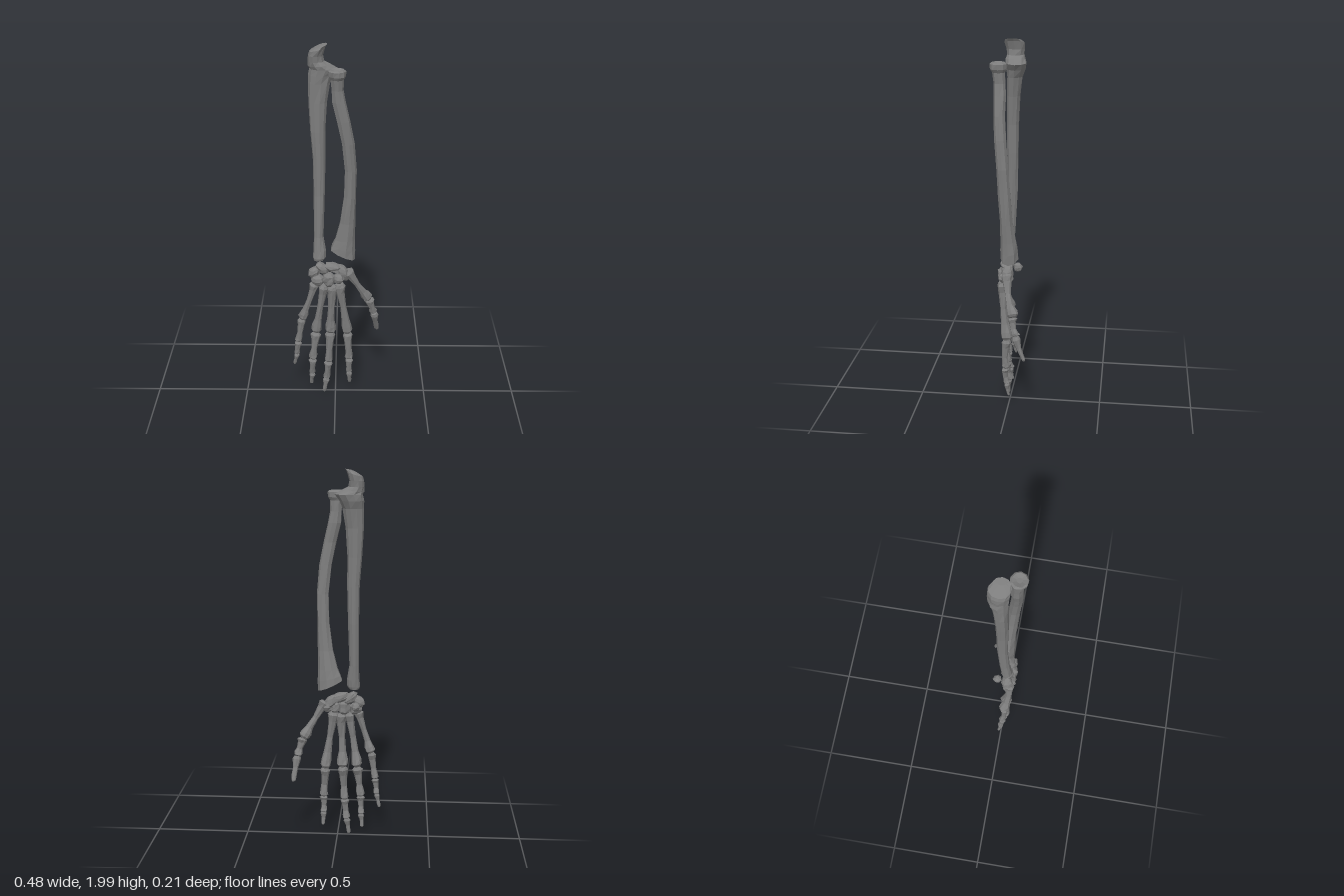
import * as THREE from 'three';

const material = new THREE.MeshStandardMaterial({ color: 0x7d7d7d, flatShading: true });

// Small seeded generator for the chiselled irregularity of the bones
let seed = 7;
const rand = () => {
  seed = (seed * 16807) % 2147483647;
  return seed / 2147483647 - 0.5;
};

// Closed skin over rings [y, x, z, rx, rz, tilt]; tilt slopes the ring along x.
// ridge = angle of the sharp crest, rough = amount of irregularity.
function loft(rings, sides, { ridge = null, rough = 0.1 } = {}) {
  const pos = [], idx = [];
  rings.forEach(([y, x, z, rx, rz, tilt = 0]) => {
    for (let i = 0; i < sides; i++) {
      const a = (i / sides) * Math.PI * 2;
      let f = 1 + rand() * rough;
      if (ridge !== null) f *= 0.92 + 0.14 * Math.max(0, Math.cos(a - ridge)) ** 4;
      const dx = Math.cos(a) * rx * f;
      pos.push(x + dx, y + dx * tilt, z + Math.sin(a) * rz * f);
    }
  });
  const n = rings.length;
  for (let r = 0; r < n - 1; r++) {
    for (let i = 0; i < sides; i++) {
      const a = r * sides + i, b = r * sides + (i + 1) % sides;
      idx.push(a, a + sides, b, b, a + sides, b + sides);
    }
  }
  // End caps
  const first = rings[0], last = rings[n - 1], c = n * sides;
  pos.push(first[1], first[0], first[2], last[1], last[0], last[2]);
  for (let i = 0; i < sides; i++) {
    const j = (i + 1) % sides, k = (n - 1) * sides;
    idx.push(c, i, j, c + 1, k + j, k + i);
  }
  const g = new THREE.BufferGeometry();
  g.setAttribute('position', new THREE.Float32BufferAttribute(pos, 3));
  g.setIndex(idx);
  g.computeVertexNormals();
  return g;
}

function add(parent, name, geometry) {
  const mesh = new THREE.Mesh(geometry, material);
  mesh.name = name;
  parent.add(mesh);
  return mesh;
}

// Profiles: [position along bone, width, depth, palm-side bow]
const METACARPAL = [[0, 0.7, 0.75, 0], [0.05, 1, 1.05, 0], [0.16, 0.75, 0.8, 0.1], [0.45, 0.55, 0.55, 0.25],
  [0.72, 0.66, 0.65, 0.15], [0.86, 0.95, 0.95, 0], [0.95, 0.95, 1.1, -0.1], [1, 0.6, 0.7, -0.1]];
const PHALANX = [[0, 0.75, 0.7, 0], [0.08, 1.05, 1, 0], [0.25, 0.8, 0.75, 0.15], [0.6, 0.63, 0.6, 0.2],
  [0.84, 0.8, 0.75, 0], [0.95, 0.85, 0.85, -0.1], [1, 0.55, 0.55, -0.1]];
const TIP = [[0, 0.8, 0.75, 0], [0.12, 1, 0.95, 0], [0.45, 0.62, 0.58, 0.1],
  [0.75, 0.6, 0.5, 0], [0.93, 0.55, 0.4, -0.1], [1, 0.25, 0.25, -0.1]];

// Small bone running from a to b
function smallBone(parent, name, a, b, r, profile) {
  const dir = b.clone().sub(a), len = dir.length();
  const rings = profile.map(([t, w, d, bow]) => [-t * len, 0, bow * r, w * r, d * r]).reverse();
  const m = add(parent, name, loft(rings, 8, { rough: 0.22 }));
  m.position.copy(a);
  m.quaternion.setFromUnitVectors(new THREE.Vector3(0, -1, 0), dir.normalize());
}

// Each digit: joints from wrist to tip, and the radius of each bone
const DIGITS = {
  thumb: { r: [0.03, 0.026, 0.023],
    p: [[0.065, 0.765, 0.01], [0.185, 0.57, -0.035], [0.213, 0.475, -0.055], [0.232, 0.345, -0.1]] },
  indexFinger: { r: [0.031, 0.026, 0.021, 0.017],
    p: [[0.022, 0.7, 0.035], [0.068, 0.385, 0.012], [0.076, 0.22, 0.018], [0.076, 0.13, 0.01], [0.08, 0.058, 0]] },
  middleFinger: { r: [0.031, 0.027, 0.024, 0.018],
    p: [[-0.015, 0.69, 0.042], [-0.027, 0.392, 0.018], [-0.038, 0.203, 0.02], [-0.05, 0.092, 0.012], [-0.063, 0.005, 0.015]] },
  ringFinger: { r: [0.028, 0.026, 0.022, 0.017],
    p: [[-0.06, 0.695, 0.042], [-0.107, 0.392, 0.02], [-0.126, 0.222, 0.024], [-0.13, 0.122, 0.012], [-0.136, 0.05, 0.002]] },
  littleFinger: { r: [0.027, 0.022, 0.019, 0.015],
    p: [[-0.108, 0.705, 0.04], [-0.183, 0.475, 0.02], [-0.206, 0.327, 0.015], [-0.215, 0.243, 0.005], [-0.23, 0.172, -0.005]] },
};

// Wrist bones: centre, radii and slope
const CARPALS = [
  [[-0.068, 0.785, 0.02], [0.036, 0.028, 0.034], -0.5],
  [[-0.012, 0.79, 0.015], [0.05, 0.024, 0.038], -0.25],
  [[0.035, 0.768, 0.01], [0.038, 0.029, 0.034], -0.5],
  [[-0.115, 0.765, 0.025], [0.03, 0.028, 0.03], 0.3],
  [[-0.1, 0.75, -0.03], [0.022, 0.022, 0.024], 0],
  [[-0.095, 0.722, 0.035], [0.036, 0.031, 0.035], 0.1],
  [[-0.035, 0.728, 0.038], [0.034, 0.038, 0.036], 0],
  [[0.018, 0.73, 0.03], [0.028, 0.028, 0.032], 0],
  [[0.053, 0.738, 0.005], [0.027, 0.027, 0.027], -0.2],
];

export function createModel() {
  seed = 7;
  const model = new THREE.Group();
  model.name = 'forearmAndHandBones';

  // Ulna, from wrist end up to the spur beside the radius and the hooked elbow end
  add(model, 'ulna', loft([
    [0.836, -0.09, 0.02, 0.027, 0.027], [0.85, -0.088, 0.02, 0.034, 0.032],
    [0.89, -0.086, 0.016, 0.033, 0.031], [0.97, -0.09, 0.008, 0.026, 0.029],
    [1.2, -0.087, -0.003, 0.029, 0.031], [1.4, -0.086, -0.004, 0.034, 0.033],
    [1.55, -0.092, -0.003, 0.039, 0.035], [1.7, -0.093, -0.008, 0.048, 0.038],
    [1.8, -0.086, -0.014, 0.055, 0.045], [1.84, -0.078, -0.02, 0.062, 0.054],
    [1.872, -0.066, -0.022, 0.073, 0.06], [1.89, -0.085, -0.018, 0.055, 0.056, 0.1],
    [1.91, -0.099, -0.016, 0.041, 0.05], [1.94, -0.1, -0.016, 0.038, 0.055],
    [1.972, -0.09, -0.012, 0.041, 0.057, 0.3], [1.988, -0.072, -0.008, 0.032, 0.045, 0.3],
    [1.993, -0.064, -0.008, 0.014, 0.02, 0.2],
  ], 10, { ridge: 0, rough: 0.1 }));

  // Radius, from the flared sloping wrist end up to the round head
  add(model, 'radius', loft([
    [0.851, 0.047, 0, 0.05, 0.038, -0.42], [0.858, 0.043, -0.001, 0.069, 0.053, -0.45],
    [0.9, 0.046, 0, 0.064, 0.052, -0.25], [0.95, 0.054, 0.003, 0.054, 0.045],
    [1.05, 0.065, 0.01, 0.043, 0.037], [1.2, 0.077, 0.02, 0.034, 0.036],
    [1.35, 0.08, 0.03, 0.032, 0.034], [1.5, 0.066, 0.042, 0.034, 0.034],
    [1.62, 0.044, 0.05, 0.035, 0.033], [1.72, 0.021, 0.05, 0.036, 0.036],
    [1.78, 0.012, 0.052, 0.031, 0.033], [1.835, 0.011, 0.057, 0.034, 0.036],
    [1.852, 0.011, 0.059, 0.044, 0.047], [1.878, 0.011, 0.06, 0.047, 0.048],
    [1.885, 0.011, 0.06, 0.038, 0.039], [1.877, 0.011, 0.06, 0.015, 0.015],
  ], 9, { ridge: Math.PI, rough: 0.09 }));

  // Wrist: faceted pebbles
  const wrist = new THREE.Group();
  wrist.name = 'wrist';
  model.add(wrist);
  CARPALS.forEach(([c, s, slope]) => {
    const rings = [[-1, 0.5], [-0.6, 0.9], [0, 1.02], [0.6, 0.9], [1, 0.45]]
      .map(([y, r]) => [y * s[1], 0, 0, r * s[0], r * s[2], slope + rand() * 0.3]);
    add(wrist, 'carpal', loft(rings, 7, { rough: 0.3 })).position.set(...c);
  });

  // Hand: thumb and four fingers, with a narrow gap at each joint
  for (const [name, { r, p }] of Object.entries(DIGITS)) {
    const digit = new THREE.Group();
    digit.name = name;
    model.add(digit);
    r.forEach((radius, i) => {
      const last = i === r.length - 1;
      const a = new THREE.Vector3(...p[i]), b = new THREE.Vector3(...p[i + 1]);
      if (!last) b.addScaledVector(b.clone().sub(a).normalize(), -0.004);
      const part = i === 0 ? 'metacarpal' : last ? 'tipPhalanx' : 'phalanx';
      smallBone(digit, part, a, b, radius, i === 0 ? METACARPAL : last ? TIP : PHALANX);
    });
  }
  return model;
}
